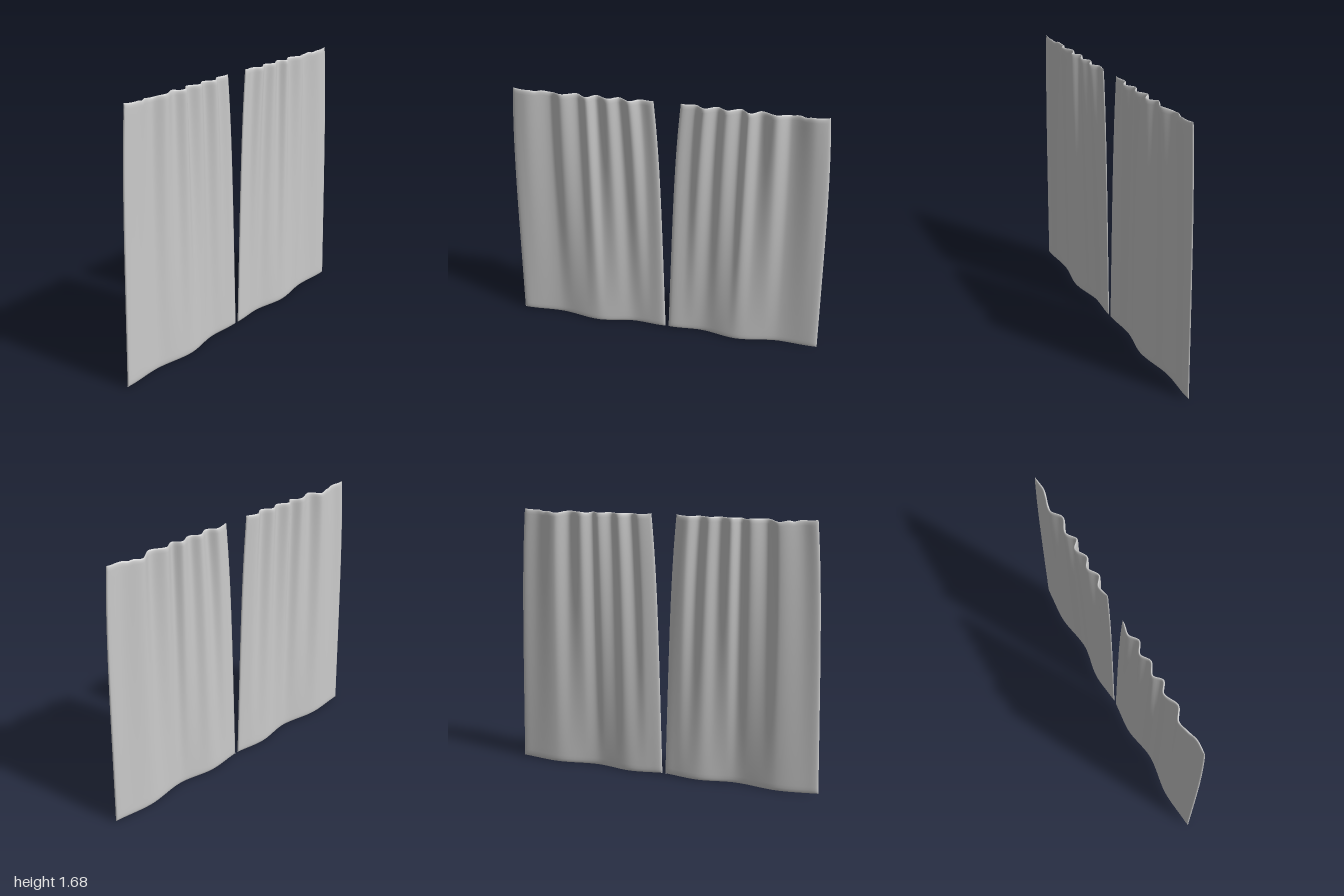
import * as THREE from 'three';
import { mergeVertices } from 'three/addons/utils/BufferGeometryUtils.js';

const H = 1.67, MID = 0.505, COLS = 96;

// depth of the folds as [z, x]: tight pleats at the heading, broad waves at the hem
const HEADING = [[0.08, 0], [0.16, -0.015], [0.22, 0.021], [0.29, -0.015], [0.35, 0.017], [0.425, -0.017],
  [0.475, 0.021], [0.54, -0.016], [0.63, 0.018], [0.71, -0.024], [0.85, 0.007], [0.93, 0]];
const HEM = [[0.01, 0], [0.22, -0.017], [0.47, 0.02], [0.75, -0.017], [1, 0]];

// smooth interpolation through fold points, u from 0 to 1 across the panel
function fold(points, u) {
  const z0 = points[0][0], z1 = points[points.length - 1][0];
  const z = z0 + (z1 - z0) * u;
  let k = 0;
  while (k < points.length - 2 && z > points[k + 1][0]) k++;
  const [a, xa] = points[k], [b, xb] = points[k + 1];
  return xa + (xb - xa) * THREE.MathUtils.smoothstep(z, a, b);
}

// rounding of the cloth edge: 0 at the edge, 1 beyond distance r
const roundOff = (d, r) => Math.sqrt(Math.max(0, 1 - Math.pow(1 - Math.min(d / r, 1), 2)));

// closed cloth panel made of stacked loops; side = 1 or -1 in z
function panelGeometry(side) {
  const levels = [0, 0.004, 0.012, 0.025, 0.045];
  for (let i = 1; i <= 40; i++) levels.push(0.045 + (H - 0.075) * i / 40);
  levels.push(H - 0.018, H - 0.009, H - 0.003, H);

  const pos = [], index = [], ring = COLS * 2;
  for (const y of levels) {
    const t = y / H;
    const half = 0.495 - 0.045 * t - 0.025 * Math.pow(t, 5);
    for (let j = 0; j < ring; j++) {
      const front = j <= COLS;
      const u = (front ? j : ring - j) / COLS;
      const w = Math.pow(t, 1.1);
      const middle = fold(HEADING, u) * w + fold(HEM, u) * (1 - w);
      const thick = 0.008 * roundOff(Math.min(u, 1 - u), 0.05)
        * roundOff(y, 0.04) * roundOff(H - y, 0.03);
      // slight sag at the hem and small dips along the heading
      const sag = 0.008 * Math.pow(2 * u - 1, 4) * Math.pow(1 - t, 12);
      const dips = (0.012 * Math.exp(-Math.pow((u - 0.74) / 0.05, 2))
        + 0.008 * Math.exp(-Math.pow((u - 0.84) / 0.025, 2))
        + 0.006 * Math.exp(-Math.pow((u - 0.5) / 0.03, 2))
        - 0.006 * Math.pow(2 * u - 1, 20)) * Math.pow(t, 25);
      pos.push(middle + (front ? thick : -thick), y + sag - dips, side * (MID + (2 * u - 1) * half));
    }
  }
  for (let i = 0; i < levels.length - 1; i++) {
    for (let j = 0; j < ring; j++) {
      const a = i * ring + j, b = i * ring + (j + 1) % ring, c = b + ring, d = a + ring;
      if (side > 0) index.push(a, d, c, a, c, b);
      else index.push(a, c, d, a, b, c);
    }
  }
  let g = new THREE.BufferGeometry();
  g.setAttribute('position', new THREE.Float32BufferAttribute(pos, 3));
  g.setIndex(index);
  g = mergeVertices(g, 1e-5);
  g.computeVertexNormals();
  return g;
}

export function createModel() {
  const cloth = new THREE.MeshStandardMaterial({ color: 0xcccccc });
  cloth.name = 'paleGreyCloth';
  const group = new THREE.Group();
  group.name = 'curtains';
  for (const side of [1, -1]) {
    const mesh = new THREE.Mesh(panelGeometry(side), cloth);
    mesh.name = side > 0 ? 'frontCurtainPanel' : 'backCurtainPanel';
    group.add(mesh);
  }
  return group;
}
